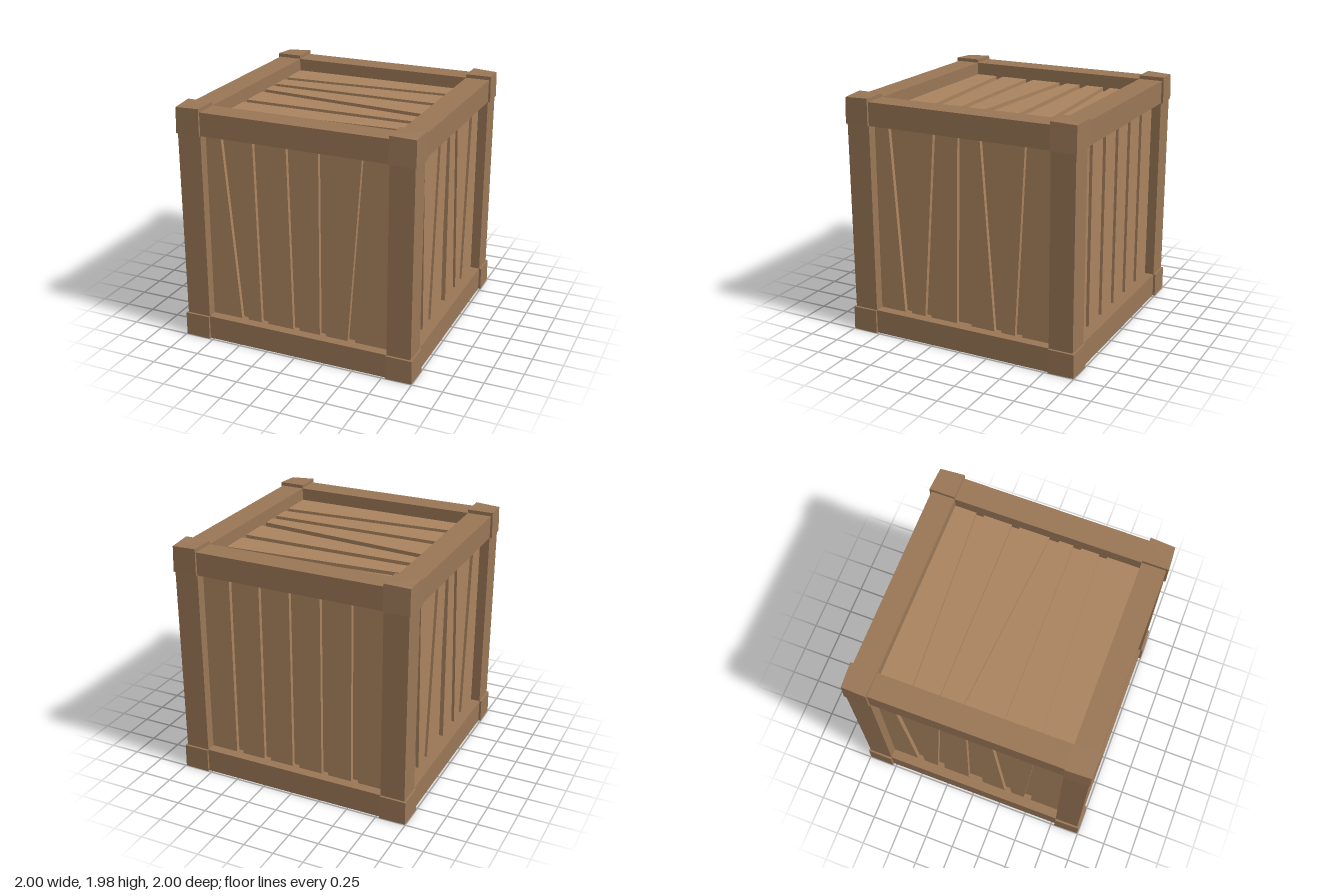
import * as THREE from 'three';

const frameMat = new THREE.MeshStandardMaterial({ color: 0x9a7757, flatShading: true });
const plankMat = new THREE.MeshStandardMaterial({ color: 0xab845f, flatShading: true });

const IN = 0.78;   // inner edge of the frame
const OUT = 0.98;  // outer face of posts and rails
const MID = (IN + OUT) / 2;
const W = OUT - IN;

function box(parent, name, mat, size, pos) {
  const mesh = new THREE.Mesh(new THREE.BoxGeometry(...size), mat);
  mesh.position.set(...pos);
  mesh.name = name;
  parent.add(mesh);
  return mesh;
}

// Corner block, pulled in slightly at its outermost corner
function cornerBlock(parent, name, sx, sz, y0, y1, taper) {
  const geo = new THREE.BoxGeometry(1, 1, 1);
  const p = geo.attributes.position;
  for (let i = 0; i < p.count; i++) {
    const ox = p.getX(i) * sx > 0, oz = p.getZ(i) * sz > 0, up = p.getY(i) > 0;
    const x = ox ? 1 - (oz ? taper : 0) - (up ? taper / 2 : 0) : IN;
    const z = oz ? 1 - (ox ? taper : 0) - (up ? taper / 2 : 0) : IN;
    const y = up ? y1 - (ox && oz ? taper : 0) : y0;
    p.setXYZ(i, x * sx, y, z * sz);
  }
  geo.computeVertexNormals();
  const mesh = new THREE.Mesh(geo, frameMat);
  mesh.name = name;
  parent.add(mesh);
}

// Planks on one face, separated by gaps given as [lowLeft, lowRight, highLeft, highRight]
function plankFace(parent, name, gaps, u, v, n, origin) {
  const face = new THREE.Group();
  face.name = name;
  const edges = [[-0.8, -0.8], ...gaps.flatMap(([a, b, c, d]) => [[a, c], [b, d]]), [0.8, 0.8]];
  for (let i = 0; i < edges.length; i += 2) {
    const [l0, l1] = edges[i], [r0, r1] = edges[i + 1];
    const shape = new THREE.Shape([
      new THREE.Vector2(l0, -IN), new THREE.Vector2(r0, -IN),
      new THREE.Vector2(r1, IN), new THREE.Vector2(l1, IN),
    ]);
    const geo = new THREE.ExtrudeGeometry(shape, { depth: 0.05, bevelEnabled: false });
    geo.translate(0, 0, -0.05);
    const plank = new THREE.Mesh(geo, plankMat);
    plank.name = 'plank';
    face.add(plank);
  }
  face.applyMatrix4(new THREE.Matrix4().makeBasis(
    new THREE.Vector3(...u), new THREE.Vector3(...v), new THREE.Vector3(...n)));
  face.position.set(...origin);
  parent.add(face);
}

export function createModel() {
  const crate = new THREE.Group();
  crate.name = 'crate';

  // Inner body seen through the gaps, and the floor
  box(crate, 'innerBody', plankMat, [1.73, 1.78, 1.73], [0, 0.92, 0]);
  box(crate, 'floorPanel', plankMat, [2 * IN, 0.05, 2 * IN], [0, 0.025, 0]);

  // Posts and corner blocks
  for (const sx of [-1, 1]) for (const sz of [-1, 1]) {
    box(crate, 'cornerPost', frameMat, [W, 1.56, W], [sx * MID, 0.98, sz * MID]);
    cornerBlock(crate, 'bottomCornerBlock', sx, sz, 0, 0.2, 0.004);
    cornerBlock(crate, 'topCornerBlock', sx, sz, 1.76, 1.98, 0.01);
  }

  // Rails along the bottom and top edges
  for (const s of [-1, 1]) for (const [y0, y1, name] of [[0, 0.2, 'bottomRail'], [1.76, 1.95, 'topRail']]) {
    const h = y1 - y0, y = (y0 + y1) / 2;
    box(crate, name, frameMat, [2 * IN, h, W], [0, y, s * MID]);
    box(crate, name, frameMat, [W, h, 2 * IN], [s * MID, y, 0]);
  }

  // Gaps between planks
  const frontGaps = [
    [-0.52, -0.46, -0.65, -0.585], [-0.34, -0.28, -0.375, -0.315], [-0.055, 0, -0.09, -0.03],
    [0.18, 0.235, 0.18, 0.285], [0.42, 0.485, 0.535, 0.595],
  ];
  const sideGaps = [
    [-0.555, -0.49, -0.655, -0.56], [-0.365, -0.305, -0.25, -0.19], [-0.07, 0.065, -0.035, 0.03],
    [0.27, 0.335, 0.155, 0.215], [0.45, 0.515, 0.535, 0.615],
  ];
  const topGaps = [
    [-0.515, -0.45, -0.6, -0.535], [-0.295, -0.23, -0.295, -0.23], [-0.105, -0.035, 0.025, 0.105],
    [0.225, 0.29, 0.225, 0.29], [0.525, 0.59, 0.44, 0.505],
  ];
  const backGaps = [-0.52, -0.26, 0, 0.26, 0.52].map(c => [c - 0.03, c + 0.03, c - 0.03, c + 0.03]);

  const d = 0.9, up = [0, 1, 0];
  plankFace(crate, 'frontPlanks', frontGaps, [1, 0, 0], up, [0, 0, 1], [0, 0.98, d]);
  plankFace(crate, 'backPlanks', backGaps, [-1, 0, 0], up, [0, 0, -1], [0, 0.98, -d]);
  plankFace(crate, 'leftPlanks', sideGaps, [0, 0, -1], up, [1, 0, 0], [d, 0.98, 0]);
  plankFace(crate, 'rightPlanks', sideGaps, [0, 0, 1], up, [-1, 0, 0], [-d, 0.98, 0]);
  plankFace(crate, 'topPlanks', topGaps, [0, 0, 1], [1, 0, 0], up, [0, 1.845, 0]);

  return crate;
}
